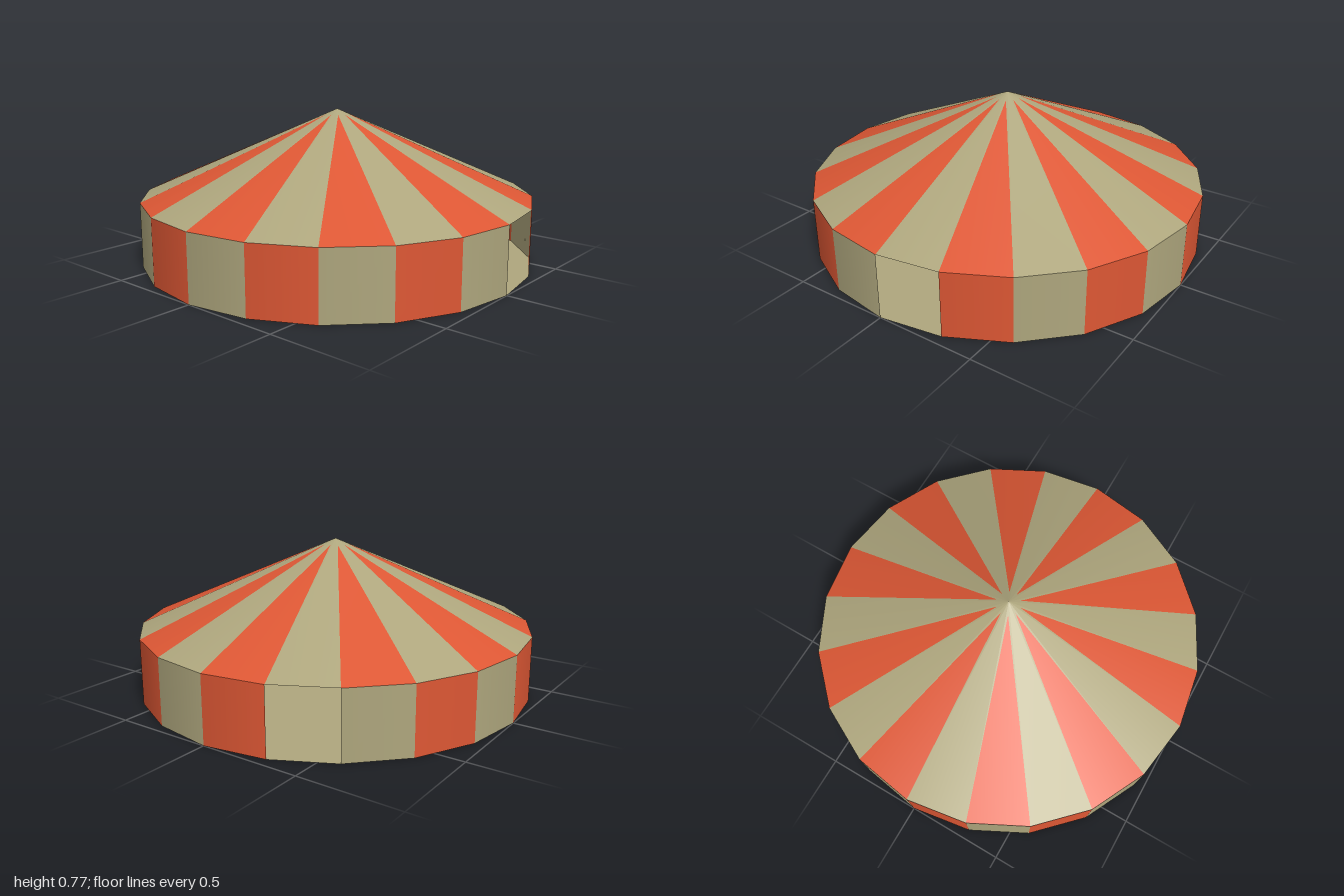
import * as THREE from 'three';

const SIDES = 20, STEP = (Math.PI * 2) / SIDES;
const WALL = 0.33, PEAK = 0.77, CAP = 0.06;

// point on the roof cone: t = 0 at the peak, 1 at the eave
const roofPoint = (t, angle) => ({
  p: [Math.sin(angle) * t, PEAK - (PEAK - WALL) * t, Math.cos(angle) * t],
  n: new THREE.Vector3(Math.sin(angle) * (PEAK - WALL), 1, Math.cos(angle) * (PEAK - WALL)).normalize().toArray(),
});

// triangles listed three points at a time, counter-clockwise from outside
function roofGeometry(points) {
  const g = new THREE.BufferGeometry();
  g.setAttribute('position', new THREE.Float32BufferAttribute(points.flatMap((v) => v.p), 3));
  g.setAttribute('normal', new THREE.Float32BufferAttribute(points.flatMap((v) => v.n), 3));
  return g;
}

export function createModel() {
  const tan = new THREE.MeshStandardMaterial({ color: 0xaea67d, side: THREE.DoubleSide });
  tan.name = 'tanCanvas';
  const red = new THREE.MeshStandardMaterial({ color: 0xdd5734, side: THREE.DoubleSide });
  red.name = 'redCanvas';

  const tent = new THREE.Group();
  tent.name = 'tent';
  const add = (name, geometry, material, parent = tent) => {
    const mesh = new THREE.Mesh(geometry, material);
    mesh.name = name;
    parent.add(mesh);
    return mesh;
  };

  // striped conical roof; red stripes end in points just below a tan peak
  const roof = new THREE.Group();
  roof.name = 'roof';
  tent.add(roof);
  const tanPoints = [], redPoints = [];
  for (let i = 0; i < SIDES; i++) {
    const mid = (i + 0.5) * STEP;
    const peak = roofPoint(0, mid);
    const a = roofPoint(1, i * STEP), b = roofPoint(1, (i + 1) * STEP);
    if (i % 2 === 0) {
      tanPoints.push(peak, a, b);
    } else {
      // stripe tip lies on the flat panel, midway between its edges
      const tip = roofPoint(CAP, mid);
      tip.p = [0, 1, 2].map((k) => peak.p[k] + ((a.p[k] + b.p[k]) / 2 - peak.p[k]) * CAP);
      redPoints.push(tip, a, b);
      tanPoints.push(peak, a, tip, peak, tip, b);
    }
  }
  add('roofTanPanels', roofGeometry(tanPoints), tan, roof);
  add('roofRedStripes', roofGeometry(redPoints), red, roof);

  // striped wall panels, leaving a front doorway and a side doorway
  const walls = new THREE.Group();
  walls.name = 'walls';
  tent.add(walls);
  const doorways = [0, 6];
  for (let i = 0; i < SIDES; i++) {
    if (doorways.includes(i)) continue;
    const isRed = i < doorways[1] ? i % 2 === 1 : i % 2 === 0;
    const panel = new THREE.CylinderGeometry(1, 1, WALL, 1, 1, true, i * STEP, STEP);
    add(isRed ? 'redWallPanel' : 'tanWallPanel', panel, isRed ? red : tan, walls).position.y = WALL / 2;
  }

  // floor sheet
  add('floor', new THREE.CircleGeometry(1, SIDES).rotateX(-Math.PI / 2), tan);

  return tent;
}
